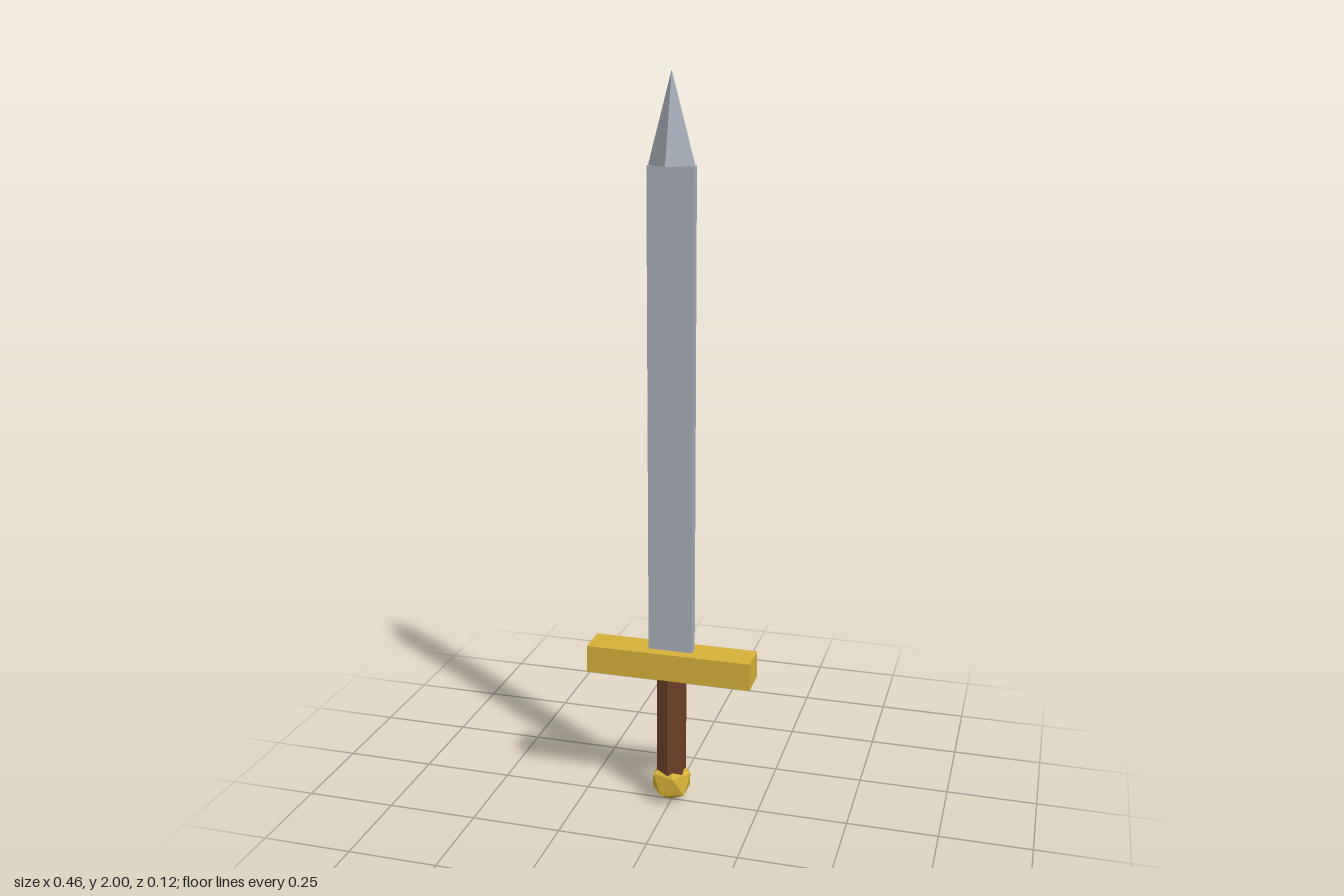
import * as THREE from 'three';

export function createModel() {
  const sword = new THREE.Group();
  sword.name = 'sword';

  const material = (name, color) => {
    const m = new THREE.MeshStandardMaterial({ color, flatShading: true });
    m.name = name;
    return m;
  };
  const steel = material('steel', 0xa5acb6);
  const gold = material('gold', 0xd4af37);
  const leather = material('brown leather', 0x6b4028);

  const add = (name, geometry, mat, y) => {
    const mesh = new THREE.Mesh(geometry, mat);
    mesh.name = name;
    mesh.position.y = y;
    sword.add(mesh);
    return mesh;
  };
  // Places a part between two heights
  const box = (name, w, d, y0, y1, mat) =>
    add(name, new THREE.BoxGeometry(w, y1 - y0, d), mat, (y0 + y1) / 2);

  // Blade with a four-sided point, wider than the blade is thick
  box('blade', 0.123, 0.031, 0.4615, 1.769, steel);
  add('bladeTip', new THREE.ConeGeometry(0.0615, 0.231, 4), steel, 1.8845);

  // Crossguard and six-sided grip
  box('crossguard', 0.4615, 0.0923, 0.3846, 0.4615, gold);
  add('grip', new THREE.CylinderGeometry(0.0423, 0.0423, 0.3077, 6), leather, 0.2308);

  // Pommel: icosahedron turned so that one corner points straight down
  const pommel = new THREE.IcosahedronGeometry(0.0615, 0);
  // Lean a corner of the xy plane onto the y axis
  pommel.rotateZ(Math.atan2(1, (1 + Math.sqrt(5)) / 2));
  // Upper ring has a corner towards +x, lower ring towards -x
  const p = pommel.attributes.position;
  let upperX = 0;
  for (let i = 0; i < p.count; i++) {
    if (p.getY(i) > 0.01 && Math.abs(p.getZ(i)) < 0.001 && Math.abs(p.getX(i)) > 0.01) upperX = p.getX(i);
  }
  if (upperX < 0) pommel.rotateY(Math.PI);
  add('pommel', pommel, gold, 0.0615);

  return sword;
}
